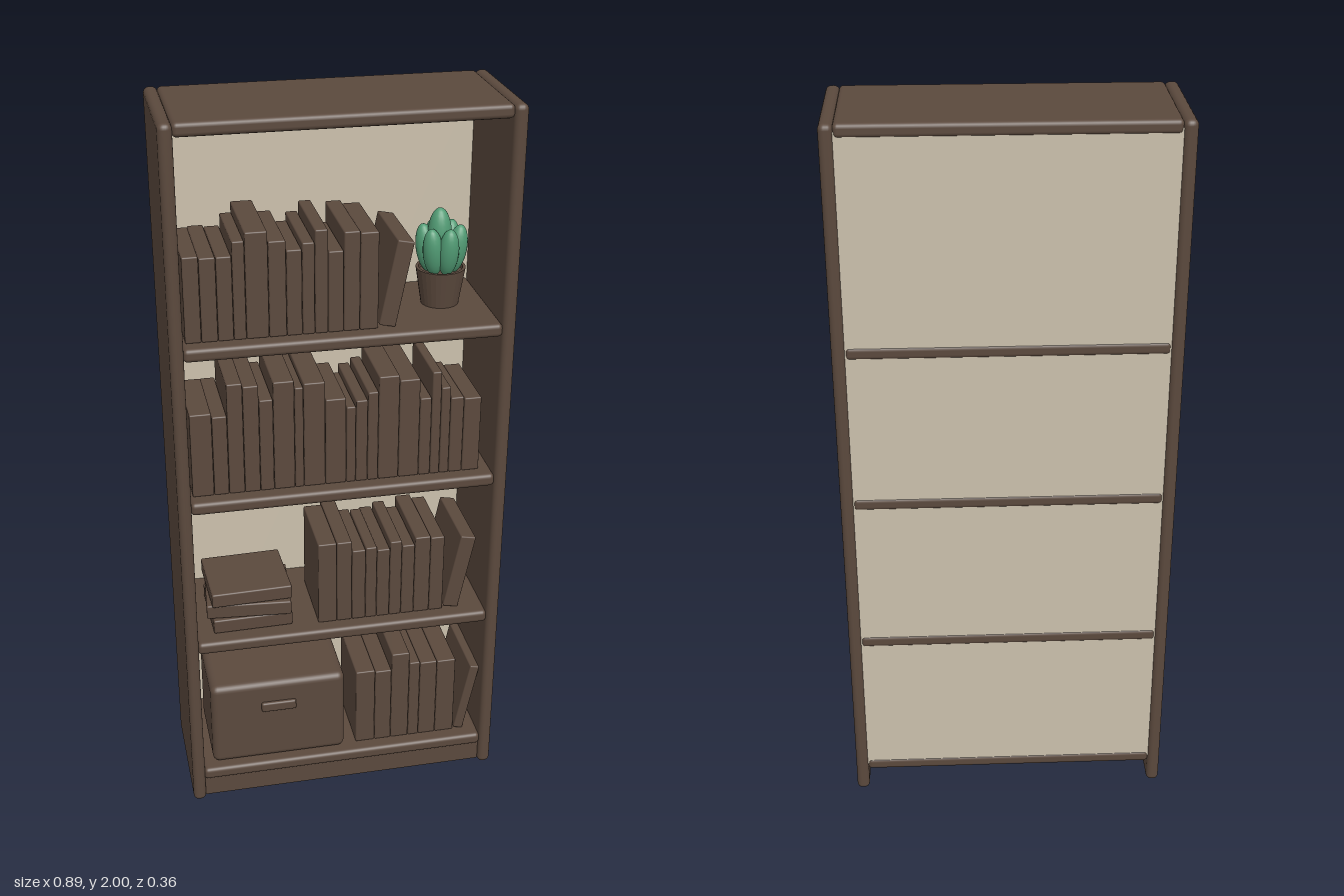
import * as THREE from 'three';
import { RoundedBoxGeometry } from 'three/addons/geometries/RoundedBoxGeometry.js';

const wood = new THREE.MeshStandardMaterial({ color: 0x5b493d });
wood.name = 'dark brown';
const cream = new THREE.MeshStandardMaterial({ color: 0xccc1ad });
cream.name = 'cream';
const green = new THREE.MeshStandardMaterial({ color: 0x519b74 });
green.name = 'plant green';

const SHELF_TOPS = [0.105, 0.545, 0.99, 1.43];

export function createModel() {
  const root = new THREE.Group();
  root.name = 'bookcase';

  const add = (parent, name, geometry, material, x, y, z) => {
    const mesh = new THREE.Mesh(geometry, material);
    mesh.name = name;
    mesh.position.set(x, y, z);
    parent.add(mesh);
    return mesh;
  };
  const board = (parent, name, w, h, d, r, x, y, z, material = wood) =>
    add(parent, name, new RoundedBoxGeometry(w, h, d, 3, r), material, x, y, z);

  // Carcass: sides, top, shelves, plinth and back panel
  for (const s of [-1, 1]) board(root, s > 0 ? 'leftSide' : 'rightSide', 0.036, 2, 0.36, 0.015, s * 0.429, 1, 0);
  board(root, 'topBoard', 0.826, 0.036, 0.35, 0.012, 0, 1.982, 0);
  SHELF_TOPS.forEach((y, i) => board(root, `shelf${i + 1}`, 0.826, 0.036, 0.35, 0.012, 0, y - 0.018, 0));
  board(root, 'plinth', 0.826, 0.07, 0.03, 0.006, 0, 0.04, 0.15);
  add(root, 'backPanel', new THREE.BoxGeometry(0.826, 1.89, 0.01), cream, 0, 1.035, -0.167);

  // Rows of upright books: start x, then [width, height] in hundredths; lean is a last tilted book
  const rows = [
    { shelf: 0, x: 0.042, lean: [0.028, 0.222, 0.342],
      books: [[5.7, 25], [4.9, 24.5], [5.3, 29.8], [3.2, 26.1], [5.1, 25.7], [5.6, 25.6]] },
    { shelf: 1, x: -0.068, lean: [0.044, 0.23, 0.294],
      books: [[5.3, 25.5], [4.3, 25.5], [3.9, 22.4], [3.2, 22.9], [3.7, 21.9], [3.4, 24], [3.7, 22.4], [4.5, 24.5], [4, 24]] },
    { shelf: 2, x: -0.403,
      books: [[5.8, 24], [4, 22.9], [4.2, 31.8], [4.2, 30.8], [3.7, 26.5], [5.6, 31.3], [2.4, 29.2], [5.8, 30.2],
        [5.6, 25], [2.6, 22.3], [3.2, 23.9], [2.9, 26], [5.6, 30.2], [5.6, 28.7], [3.2, 22.9], [2.6, 30.2],
        [2.6, 25.5], [3.7, 22.3], [4.8, 21.8]] },
    { shelf: 3, x: -0.403, lean: [0.044, 0.23, 0.094],
      books: [[4.2, 22.8], [4.2, 22.3], [4, 22.3], [3.2, 26], [5.8, 28.1], [4.5, 25.4], [4, 22.8], [3.2, 24.4],
        [3.4, 27.5], [4, 21.7], [4.2, 26.5], [4.8, 26]] },
  ];
  for (const { shelf, x, books, lean } of rows) {
    const row = new THREE.Group();
    row.name = `bookRow${shelf + 1}`;
    root.add(row);
    const base = SHELF_TOPS[shelf];
    let left = x;
    books.forEach(([bw, bh], i) => {
      const w = bw / 100, h = bh / 100, d = 0.22 + 0.012 * ((i * 5) % 3);
      board(row, 'book', w - 0.001, h, d, 0.004, left + w / 2, base + h / 2, 0.135 - d / 2);
      left += w;
    });
    if (lean) {
      const [w, h, lx] = lean, a = 0.2;
      const cx = lx + (w / 2) * Math.cos(a) + (h / 2) * Math.sin(a);
      const cy = base + (w / 2) * Math.sin(a) + (h / 2) * Math.cos(a);
      board(row, 'leaningBook', w, h, 0.23, 0.004, cx, cy, 0.02).rotation.z = -a;
    }
  }

  // Pile of flat books, each turned a little
  [[0.222, -0.253, 0.02], [0.235, -0.253, -0.09], [0.224, -0.255, 0.03]].forEach(([w, x, turn], i) => {
    board(root, 'stackedBook', w, 0.042, 0.2, 0.005, x, 0.567 + i * 0.043, 0.03).rotation.y = turn;
  });

  // Storage box with a raised handle
  board(root, 'storageBox', 0.388, 0.264, 0.25, 0.02, -0.188, 0.237, 0.025);
  board(root, 'boxHandle', 0.1, 0.03, 0.016, 0.006, -0.188, 0.289, 0.152);

  // Potted succulent
  const plant = new THREE.Group();
  plant.name = 'plant';
  plant.position.set(0.292, SHELF_TOPS[3], -0.01);
  root.add(plant);
  const profile = [[0, 0], [0.05, 0], [0.066, 0.1], [0.058, 0.1], [0.057, 0.088], [0, 0.088]];
  const pot = add(plant, 'pot', new THREE.LatheGeometry(profile.map(p => new THREE.Vector2(...p)), 28), wood, 0, 0, 0);
  pot.geometry = pot.geometry.toNonIndexed();
  pot.geometry.computeVertexNormals();
  const leafShape = new THREE.SphereGeometry(1, 20, 14);
  const leaf = (x, y, z, r, h) => {
    const mesh = add(plant, 'leaf', leafShape, green, x, y, z);
    mesh.scale.set(r, h, r);
    return mesh;
  };
  leaf(-0.006, 0.185, 0, 0.032, 0.075);
  for (let i = 0; i < 6; i++) {
    const a = (i / 6) * Math.PI * 2 + 0.3;
    const mesh = leaf(Math.cos(a) * 0.04, 0.15, Math.sin(a) * 0.04, 0.027, 0.066);
    mesh.rotation.set(Math.sin(a) * 0.15, 0, -Math.cos(a) * 0.15);
  }
  return root;
}
